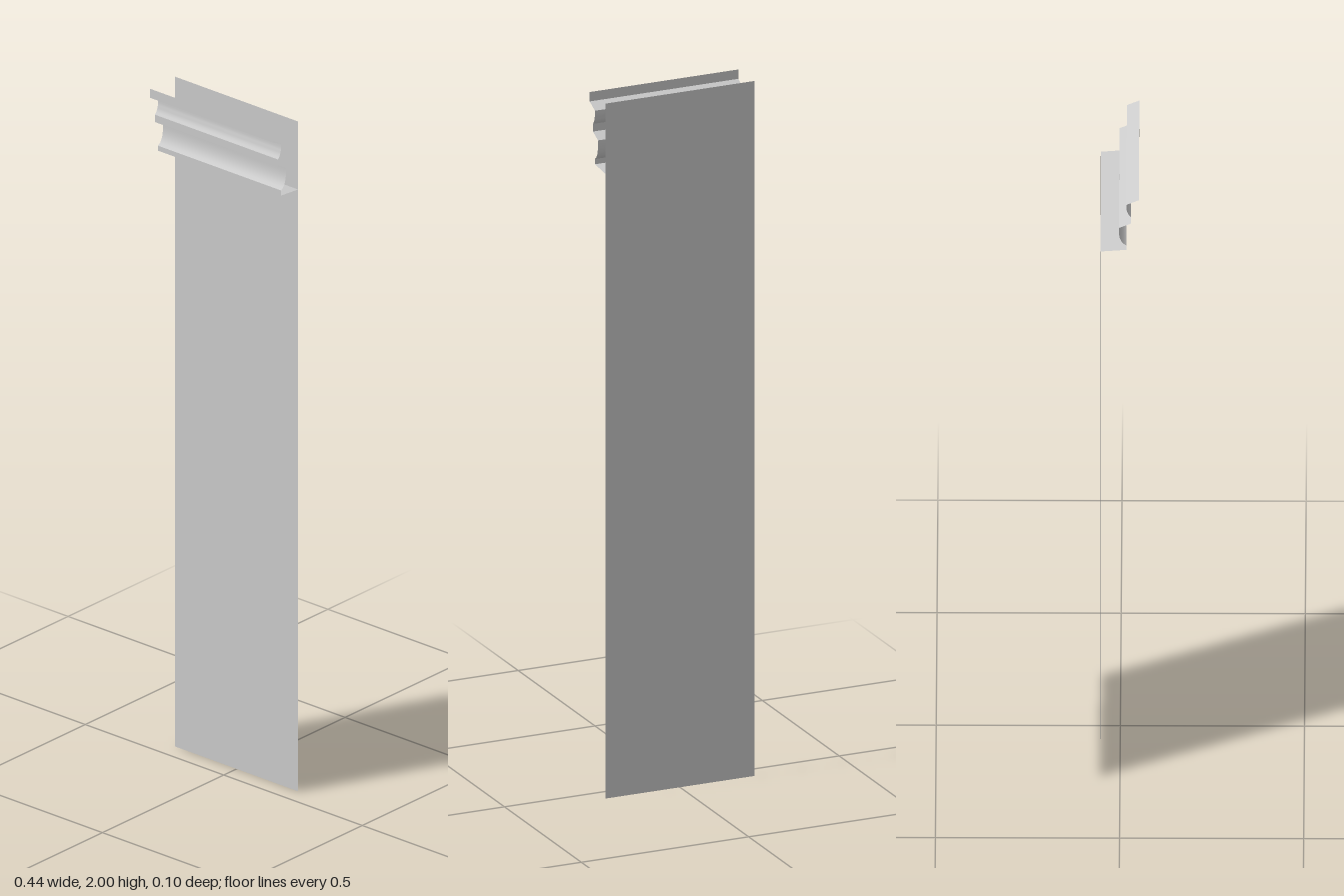
import * as THREE from 'three';
import { toCreasedNormals } from 'three/addons/utils/BufferGeometryUtils.js';

const HALF_WIDTH = 0.222;
const BACK = -0.053;

// Sweeps an open (z, y) profile along x into an end-less sheet
function sweepProfile(profile) {
  const positions = [];
  const index = [];
  profile.forEach(({ x: z, y }, i) => {
    positions.push(-HALF_WIDTH, y, z, HALF_WIDTH, y, z);
    if (i > 0) {
      const a = 2 * (i - 1);
      index.push(a, a + 2, a + 1, a + 1, a + 2, a + 3);
    }
  });
  const geometry = new THREE.BufferGeometry();
  geometry.setAttribute('position', new THREE.Float32BufferAttribute(positions, 3));
  geometry.setIndex(index);
  return toCreasedNormals(geometry, 0.5);
}

export function createModel() {
  const group = new THREE.Group();
  const material = new THREE.MeshStandardMaterial({ color: 0xcccccc, side: THREE.DoubleSide });

  // Tall flat backing sheet
  const panel = new THREE.Mesh(new THREE.PlaneGeometry(2 * HALF_WIDTH, 2), material);
  panel.name = 'wallPanel';
  panel.position.set(0, 1, BACK);
  group.add(panel);

  // Moulding profile from top lip to the return that meets the panel
  const profile = new THREE.Path();
  profile.moveTo(0.051, 2);
  profile.lineTo(0.051, 1.973);
  profile.lineTo(0.017, 1.957);
  // Upper cove into the middle fillet
  profile.quadraticCurveTo(0.016, 1.928, 0.03, 1.915);
  profile.lineTo(0.03, 1.893);
  profile.lineTo(-0.003, 1.878);
  // Lower cove flaring out to the bottom bead
  profile.bezierCurveTo(-0.004, 1.855, -0.002, 1.828, 0.017, 1.818);
  profile.lineTo(0.017, 1.803);
  profile.lineTo(BACK, 1.797);

  const moulding = new THREE.Mesh(sweepProfile(profile.getPoints(6)), material);
  moulding.name = 'crownMoulding';
  group.add(moulding);

  return group;
}
